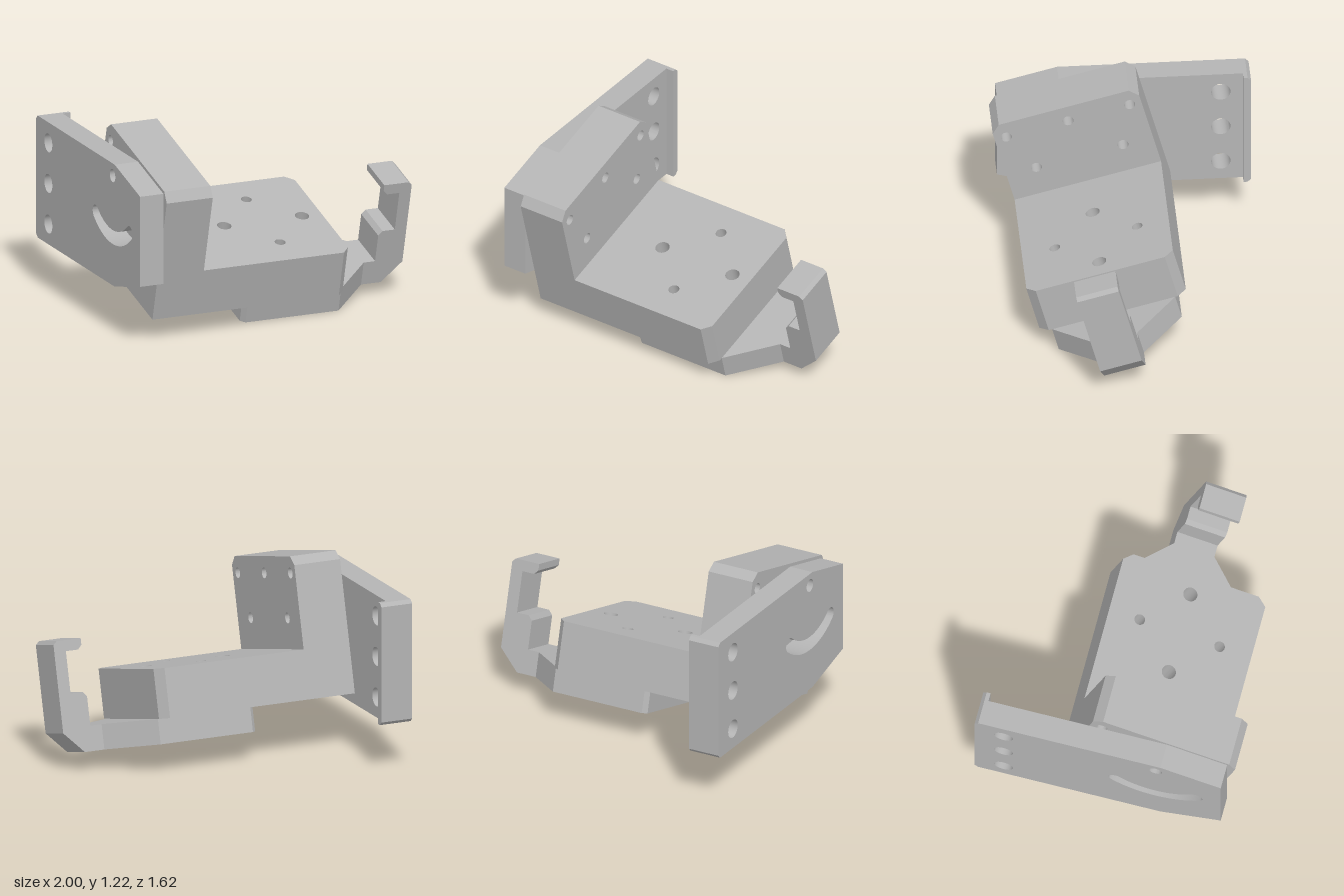
import * as THREE from 'three';
import { toCreasedNormals } from 'three/addons/utils/BufferGeometryUtils.js';

const TILT = Math.PI / 12;

function outline(points) {
  return new THREE.Shape(points.map(([x, y]) => new THREE.Vector2(x, y)));
}

function addHole(shape, x, y, r) {
  const p = new THREE.Path();
  p.absarc(x, y, r, 0, Math.PI * 2, true);
  shape.holes.push(p);
}

// straight slot along the shape's x axis
function addSlot(shape, x, y, half, r) {
  const p = new THREE.Path();
  p.absarc(x + half, y, r, -Math.PI / 2, Math.PI / 2, false);
  p.absarc(x - half, y, r, Math.PI / 2, Math.PI * 1.5, false);
  p.closePath();
  shape.holes.push(p);
}

// curved slot centred on the direction straight down from the pivot
function addArcSlot(shape, cx, cy, radius, halfAngle, r) {
  const a0 = -Math.PI / 2 - halfAngle, a1 = -Math.PI / 2 + halfAngle;
  const end = (a) => [cx + Math.cos(a) * radius, cy + Math.sin(a) * radius];
  const p = new THREE.Path();
  p.absarc(cx, cy, radius + r, a0, a1, false);
  p.absarc(...end(a1), r, a1, a1 + Math.PI, false);
  p.absarc(cx, cy, radius - r, a1, a0, true);
  p.absarc(...end(a0), r, a0 + Math.PI, a0 + Math.PI * 2, false);
  p.closePath();
  shape.holes.push(p);
}

export function createModel() {
  const grey = new THREE.MeshStandardMaterial({ color: 0xb4b4b4 });
  grey.name = 'machined grey';

  // axis 'x': shape is (-z, y); axis 'y': shape is (x, -z); axis 'z': shape is (x, y)
  function extrude(name, shape, axis, from, to) {
    let g = new THREE.ExtrudeGeometry(shape, { depth: to - from, bevelEnabled: false, curveSegments: 16 });
    g.translate(0, 0, from);
    if (axis === 'x') g.rotateY(Math.PI / 2);
    if (axis === 'y') g.rotateX(-Math.PI / 2);
    g = toCreasedNormals(g, 0.24);
    const mesh = new THREE.Mesh(g, grey);
    mesh.name = name;
    return mesh;
  }

  const model = new THREE.Group();
  model.name = 'adjustableBracket';

  // upright side plate with pivot hole, curved slot and three mounting holes
  const side = outline([
    [-0.76, 0.413], [-0.375, 0.31], [0.765, 0.31], [0.765, 1.097], [-0.375, 1.097], [-0.76, 0.994],
  ]);
  addHole(side, -0.343, 1.018, 0.042);
  addArcSlot(side, -0.343, 1.018, 0.396, 0.7, 0.045);
  for (const y of [0.441, 0.703, 0.965]) addHole(side, 0.628, y, 0.06);
  model.add(extrude('sidePlate', side, 'x', -1, -0.842));

  // flange along the back edge of the side plate
  const flange = outline([
    [0.765, 0.31], [0.79, 0.31], [0.812, 0.332], [0.812, 1.075], [0.79, 1.097], [0.765, 1.097],
  ]);
  model.add(extrude('backFlange', flange, 'x', -1, -0.79));

  // everything else is tilted about the x axis
  const tilted = new THREE.Group();
  tilted.name = 'tiltedMount';
  tilted.rotation.x = TILT;
  model.add(tilted);

  // upright wall of the mount
  const wall = outline([
    [-0.538, 0.286], [0.402, 0.286], [0.402, 1.122], [0.349, 1.177], [-0.485, 1.177], [-0.538, 1.122],
  ]);
  for (const [z, y] of [[0.464, 1.073], [0.067, 1.073], [-0.328, 1.073], [0.346, 0.793], [-0.21, 0.793]]) {
    addHole(wall, -z, y, 0.034);
  }
  tilted.add(extrude('mountWall', wall, 'x', -0.842, -0.53));

  // thick base block
  const base = outline([
    [-0.53, -0.538], [0.42, -0.538], [0.47, -0.482], [0.47, 0.346], [0.42, 0.402], [-0.53, 0.402],
  ]);
  for (const z of [-0.2, 0.328]) addHole(base, 0.077, -z, 0.034);
  for (const x of [-0.187, 0.34]) addHole(base, x, -0.064, 0.045);
  tilted.add(extrude('mountBase', base, 'y', 0.286, 0.598));

  // slotted plate under the base, tapering towards the hook
  const under = outline([
    [-0.16, -0.46], [0.47, -0.46], [0.735, -0.2], [0.735, 0.066], [0.47, 0.33],
    [-0.16, 0.33], [-0.187, 0.303], [-0.187, -0.433],
  ]);
  for (const z of [-0.2, 0.328]) addSlot(under, 0.07, -z, 0.105, 0.048);
  tilted.add(extrude('slottedPlate', under, 'y', 0.128, 0.286));

  // hooked arm
  const hook = outline([
    [0.735, 0.128], [0.868, 0.128], [1, 0.26], [1, 0.81], [0.976, 0.832], [0.812, 0.832],
    [0.812, 0.79], [0.838, 0.763], [0.921, 0.763], [0.921, 0.499], [0.838, 0.499],
    [0.812, 0.47], [0.812, 0.286], [0.735, 0.286],
  ]);
  tilted.add(extrude('hookArm', hook, 'z', -0.066, 0.2));

  return model;
}
